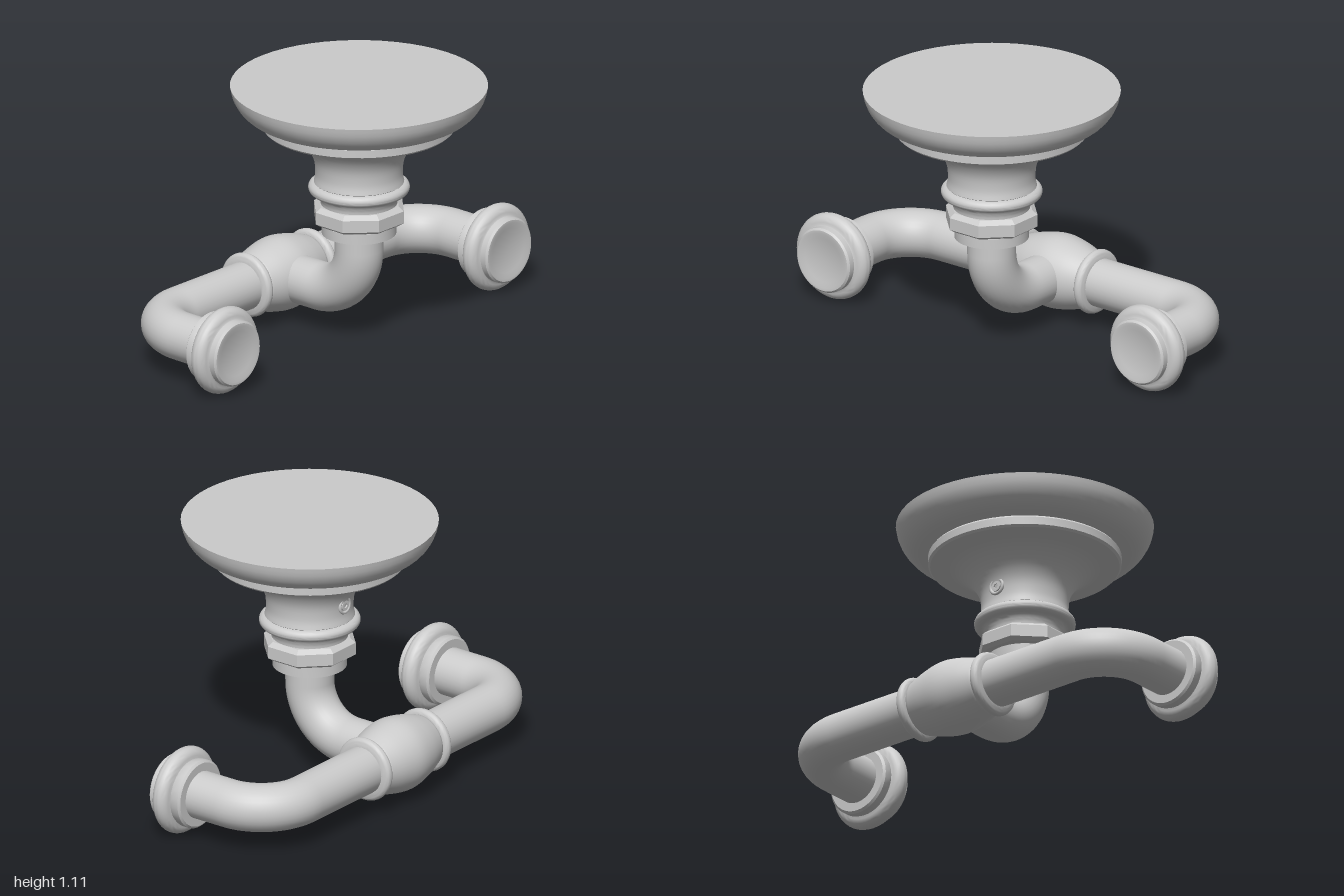
import * as THREE from 'three';
import { toCreasedNormals } from 'three/addons/utils/BufferGeometryUtils.js';

const material = new THREE.MeshStandardMaterial({ color: 0xcccccc });
const PIPE = 0.1, PIPE_Y = 0.186, BAR_Z = -0.405, ARM_X = 0.817, STEM_Z = 0.034;
const v3 = (x, y, z) => new THREE.Vector3(x, y, z);

// Turned solid from [radius, height] pairs, listed bottom to top
function lathe(profile, segments = 48, crease = 0.6) {
  const pts = profile.map(([r, y]) => new THREE.Vector2(r, y));
  return toCreasedNormals(new THREE.LatheGeometry(pts, segments), crease);
}

// Smooth run of profile points through a few guides
function smooth(guides, n) {
  const curve = new THREE.SplineCurve(guides.map(([r, y]) => new THREE.Vector2(r, y)));
  return curve.getPoints(n).map(p => [p.x, p.y]);
}

// Half-round bead bulging outward from radius r, centred on height y
function bead(r, y, out, half, n = 10) {
  return Array.from({ length: n + 1 }, (_, i) => {
    const a = -Math.PI / 2 + Math.PI * i / n;
    return [r + out * Math.cos(a), y + half * Math.sin(a)];
  });
}

// Quarter-circle bend from a to b around a corner
function bend(a, corner, b) {
  const k = 0.5523;
  return new THREE.CubicBezierCurve3(a, a.clone().lerp(corner, k), b.clone().lerp(corner, k), b);
}

function pipe(curves, segments) {
  const path = new THREE.CurvePath();
  curves.forEach(c => path.add(c));
  return new THREE.TubeGeometry(path, segments, PIPE, 32);
}

export function createModel() {
  const model = new THREE.Group();
  const add = (name, geometry, x = 0, y = 0, z = 0, parent = model) => {
    const mesh = new THREE.Mesh(geometry, material);
    mesh.name = name;
    mesh.position.set(x, y, z);
    parent.add(mesh);
    return mesh;
  };

  // Wall plate, flared bell and beaded neck
  add('flaredBase', lathe([
    [0, 0.59], [0.157, 0.59], [0.157, 0.61],
    ...smooth([[0.16, 0.62], [0.168, 0.637], [0.18, 0.645]], 5),
    ...bead(0.182, 0.669, 0.025, 0.024),
    ...smooth([[0.184, 0.695], [0.178, 0.735], [0.187, 0.8], [0.225, 0.862], [0.29, 0.91], [0.367, 0.928]], 20),
    [0.385, 0.928], [0.394, 0.937], [0.394, 0.97], [0.388, 0.978], [0.405, 0.98],
    ...smooth([[0.415, 0.981], [0.455, 0.994], [0.49, 1.023], [0.515, 1.065], [0.525, 1.108]], 10),
    [0, 1.108],
  ], 56), 0, 0, STEM_Z);

  // Eight-sided nut with chamfered edges
  const nut = lathe([[0, 0.521], [0.175, 0.521], [0.194, 0.534], [0.194, 0.585], [0.172, 0.602], [0, 0.602]], 8, 0.1);
  nut.rotateY(Math.PI / 8);
  add('nut', nut, 0, 0, STEM_Z);
  add('collar', lathe([[0, 0.471], [0.152, 0.471], [0.152, 0.515], [0.135, 0.517], [0.135, 0.53], [0, 0.53]]), 0, 0, STEM_Z);

  // Set screw at the rear of the bell neck
  const screw = new THREE.Group();
  screw.name = 'setScrew';
  screw.position.set(0, 0.775, STEM_Z - 0.178);
  screw.rotation.y = Math.PI;
  model.add(screw);
  add('screwRim', new THREE.TorusGeometry(0.031, 0.007, 8, 24), 0, 0, 0.002, screw);
  const head = new THREE.Shape().absarc(0, 0, 0.022, 0, Math.PI * 2);
  const socket = new THREE.Path();
  for (let i = 0; i < 6; i++) {
    const a = -i * Math.PI / 3;
    socket[i ? 'lineTo' : 'moveTo'](0.011 * Math.cos(a), 0.011 * Math.sin(a));
  }
  socket.closePath();
  head.holes.push(socket);
  add('screwHead', new THREE.ExtrudeGeometry(head, { depth: 0.02, bevelEnabled: false }), 0, 0, -0.012, screw);

  // Stem that drops from the collar and turns back into the barrel
  const R = 0.215;
  const top = v3(0, 0.55, STEM_Z), start = v3(0, PIPE_Y + R, STEM_Z);
  const corner = v3(0, PIPE_Y, STEM_Z), end = v3(0, PIPE_Y, STEM_Z - R);
  add('stemPipe', pipe([
    new THREE.LineCurve3(top, start),
    bend(start, corner, end),
    new THREE.LineCurve3(end, v3(0, PIPE_Y, BAR_Z)),
  ], 48));

  // Crossbar with both arms turning forward
  const B = 0.215;
  const side = s => ({
    tip: v3(s * ARM_X, PIPE_Y, 0),
    low: v3(s * ARM_X, PIPE_Y, BAR_Z + B),
    corner: v3(s * ARM_X, PIPE_Y, BAR_Z),
    inner: v3(s * (ARM_X - B), PIPE_Y, BAR_Z),
  });
  const a = side(-1), b = side(1);
  add('crossbarPipe', pipe([
    new THREE.LineCurve3(a.tip, a.low), bend(a.low, a.corner, a.inner),
    new THREE.LineCurve3(a.inner, b.inner),
    bend(b.inner, b.corner, b.low), new THREE.LineCurve3(b.low, b.tip),
  ], 110));

  // Swollen barrel joint with a beaded ring at each end
  const barrel = lathe([
    [0.09, -0.215], [0.112, -0.215], ...bead(0.114, -0.193, 0.021, 0.021),
    ...smooth([[0.116, -0.17], [0.142, -0.09], [0.156, 0], [0.142, 0.09], [0.116, 0.17]], 20),
    ...bead(0.114, 0.193, 0.021, 0.021), [0.112, 0.215], [0.09, 0.215],
  ]);
  barrel.rotateZ(-Math.PI / 2);
  add('barrelJoint', barrel, 0, PIPE_Y, BAR_Z);

  // End caps: stepped disc, fat bead and a slightly dished face
  const cap = lathe([
    [0, -0.046], [0.135, -0.046], [0.144, -0.038], [0.144, -0.008], [0.14, 0.002],
    ...bead(0.143, 0.041, 0.04, 0.038, 14),
    [0.138, 0.082], [0.138, 0.108], [0.13, 0.116], [0.118, 0.116], [0.095, 0.109], [0, 0.107],
  ]);
  cap.rotateX(Math.PI / 2);
  for (const s of [-1, 1]) add(s > 0 ? 'leftEndCap' : 'rightEndCap', cap, s * ARM_X, PIPE_Y, 0);

  return model;
}
